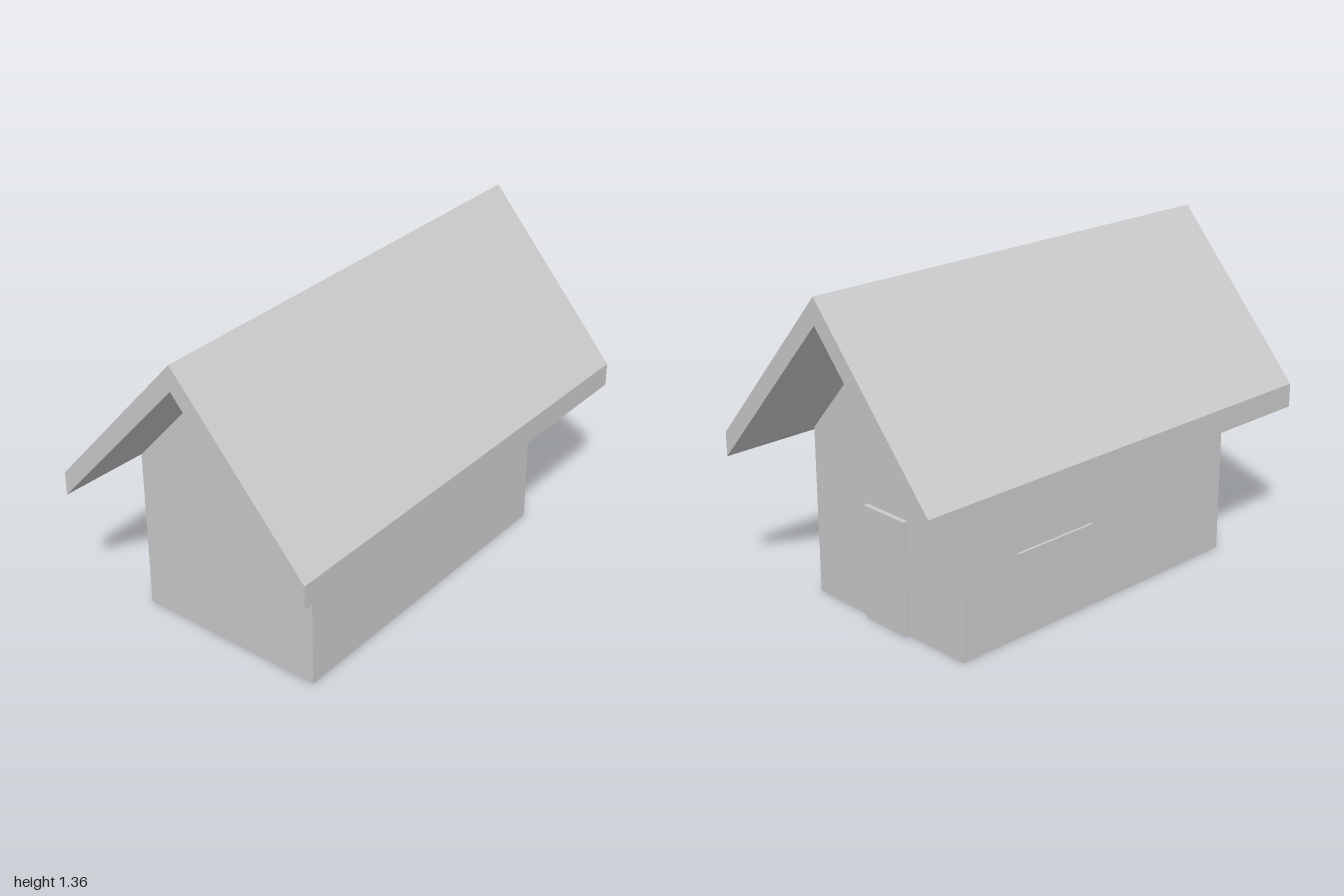
import * as THREE from 'three';

const material = new THREE.MeshStandardMaterial({ color: 0xcccccc, flatShading: true });

function addMesh(group, name, geometry, x = 0, y = 0, z = 0) {
  const mesh = new THREE.Mesh(geometry, material);
  mesh.name = name;
  mesh.position.set(x, y, z);
  group.add(mesh);
}

// Wall outline, slightly off-centre under the roof
const LEFT = 0.39, RIGHT = -0.45, PEAK_X = -0.03, WALL_TOP = 0.7, PEAK = 1.18;
const FRONT = 0.727, BACK = -0.725;

function wallsGeometry() {
  const shape = new THREE.Shape([
    [RIGHT, 0], [LEFT, 0], [LEFT, WALL_TOP], [PEAK_X, PEAK], [RIGHT, WALL_TOP],
  ].map(([x, y]) => new THREE.Vector2(x, y)));
  return new THREE.ExtrudeGeometry(shape, { depth: FRONT - BACK, bevelEnabled: false });
}

// Roof lofted through chevrons: inner back, lower back, top back, top front, lower front, inner front
function roofGeometry() {
  const chevron = (z, y, ridge) => [[-0.585, y, z], [0, ridge, z], [0.585, y, z]];
  const inner = (z) => [[RIGHT, WALL_TOP, z], [PEAK_X, PEAK, z], [LEFT, WALL_TOP, z]];
  const sections = [
    inner(BACK), chevron(-1, 0.6, 1.255), chevron(-1, 0.7, 1.36),
    chevron(1, 0.7, 1.36), chevron(1, 0.6, 1.255), inner(FRONT),
  ];
  const positions = [];
  const quad = (a, b, c, d) => positions.push(...a, ...b, ...c, ...a, ...c, ...d);
  for (let i = 0; i < sections.length - 1; i++) {
    const s = sections[i], t = sections[i + 1];
    for (let j = 0; j < 2; j++) quad(s[j], t[j], t[j + 1], s[j + 1]);
  }
  // Eave boards and the sloped soffits running back to the walls
  const [innerBack, lowBack, topBack, topFront, lowFront, innerFront] = sections;
  quad(lowBack[0], lowFront[0], topFront[0], topBack[0]);
  quad(lowFront[2], lowBack[2], topBack[2], topFront[2]);
  quad(innerBack[0], innerFront[0], lowFront[0], lowBack[0]);
  quad(innerFront[2], innerBack[2], lowBack[2], lowFront[2]);

  const geometry = new THREE.BufferGeometry();
  geometry.setAttribute('position', new THREE.Float32BufferAttribute(positions, 3));
  geometry.computeVertexNormals();
  return geometry;
}

export function createModel() {
  const house = new THREE.Group();
  house.name = 'house';
  addMesh(house, 'walls', wallsGeometry(), 0, 0, BACK);
  addMesh(house, 'roof', roofGeometry());
  // Thin panels, sunk a little into the walls
  addMesh(house, 'door', new THREE.BoxGeometry(0.23, 0.475, 0.04), -0.037, 0.2375, -0.725);
  addMesh(house, 'window', new THREE.BoxGeometry(0.03, 0.183, 0.4), -0.446, 0.263, -0.25);
  return house;
}
